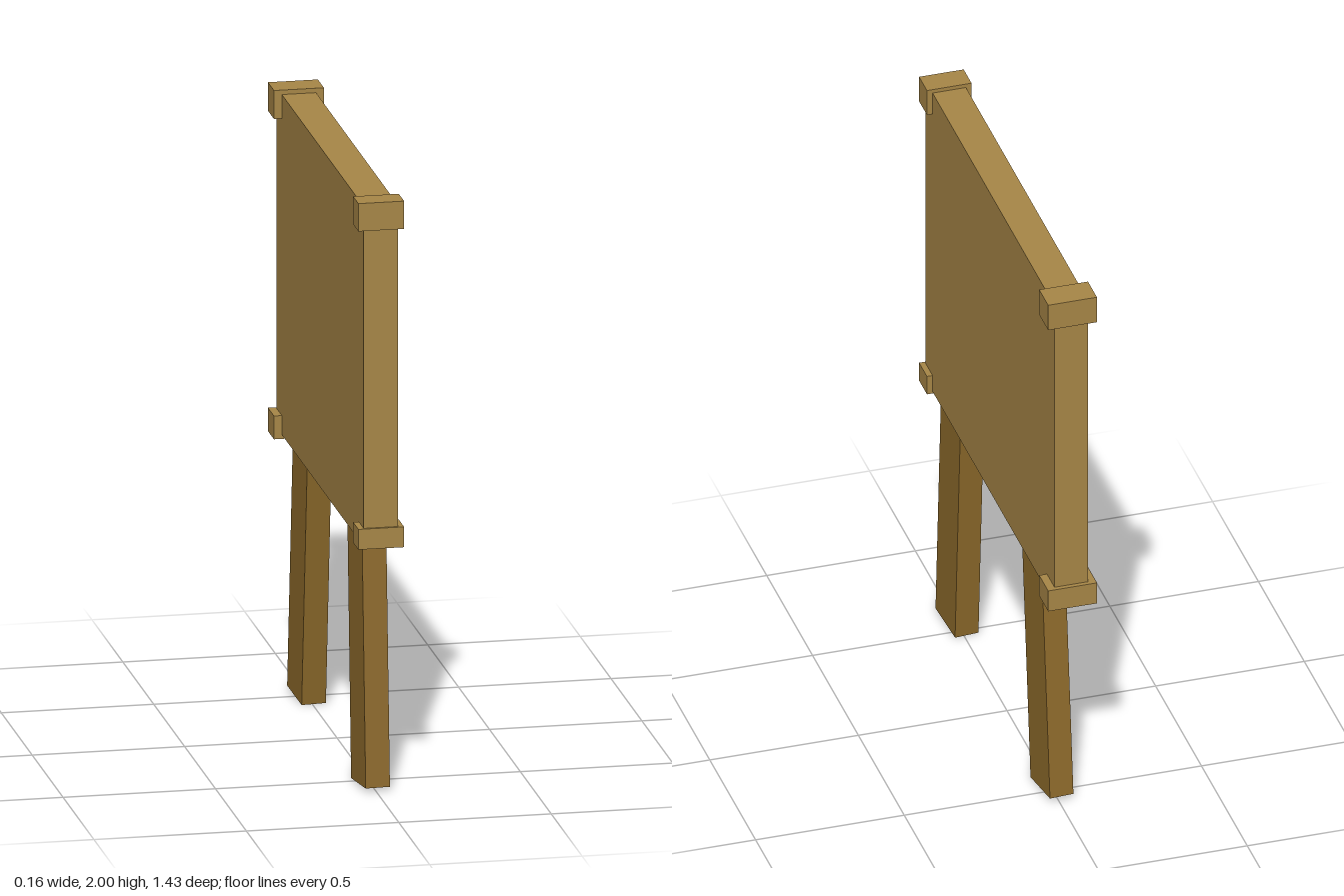
import * as THREE from 'three';

export function createModel() {
  const model = new THREE.Group();
  const paleWood = new THREE.MeshStandardMaterial({ color: 0xa88747, flatShading: true });
  const darkWood = new THREE.MeshStandardMaterial({ color: 0x8d6a2b, flatShading: true });

  // Box given by its half width and its y and z ranges
  function block(name, halfX, y0, y1, z0, z1) {
    const mesh = new THREE.Mesh(new THREE.BoxGeometry(halfX * 2, y1 - y0, z1 - z0), paleWood);
    mesh.position.set(0, (y0 + y1) / 2, (z0 + z1) / 2);
    mesh.name = name;
    model.add(mesh);
  }

  // Sign board
  block('board', 0.056, 0.847, 1.985, -0.7, 0.708);

  // Caps wrapped around the four corners
  block('frontTopCap', 0.075, 1.905, 1.998, 0.63, 0.716);
  block('frontBottomCap', 0.075, 0.84, 0.908, 0.63, 0.716);
  block('backTopCap', 0.082, 1.905, 2.0, -0.715, -0.617);
  block('backBottomCap', 0.082, 0.833, 0.911, -0.715, -0.617);

  // Splayed legs, slightly twisted, rising into the board from their feet
  const legGeometry = new THREE.BoxGeometry(0.081, 0.93, 0.17).translate(0, 0.465, 0);
  function leg(name, footZ, footY, tilt) {
    const mesh = new THREE.Mesh(legGeometry, darkWood);
    mesh.rotation.set(tilt, 0.08, 0);
    mesh.position.set(-0.002, footY, footZ);
    mesh.name = name;
    model.add(mesh);
  }
  leg('frontLeg', 0.552, 0.011, -0.07);
  leg('backLeg', -0.484, 0.013, 0.108);

  return model;
}
